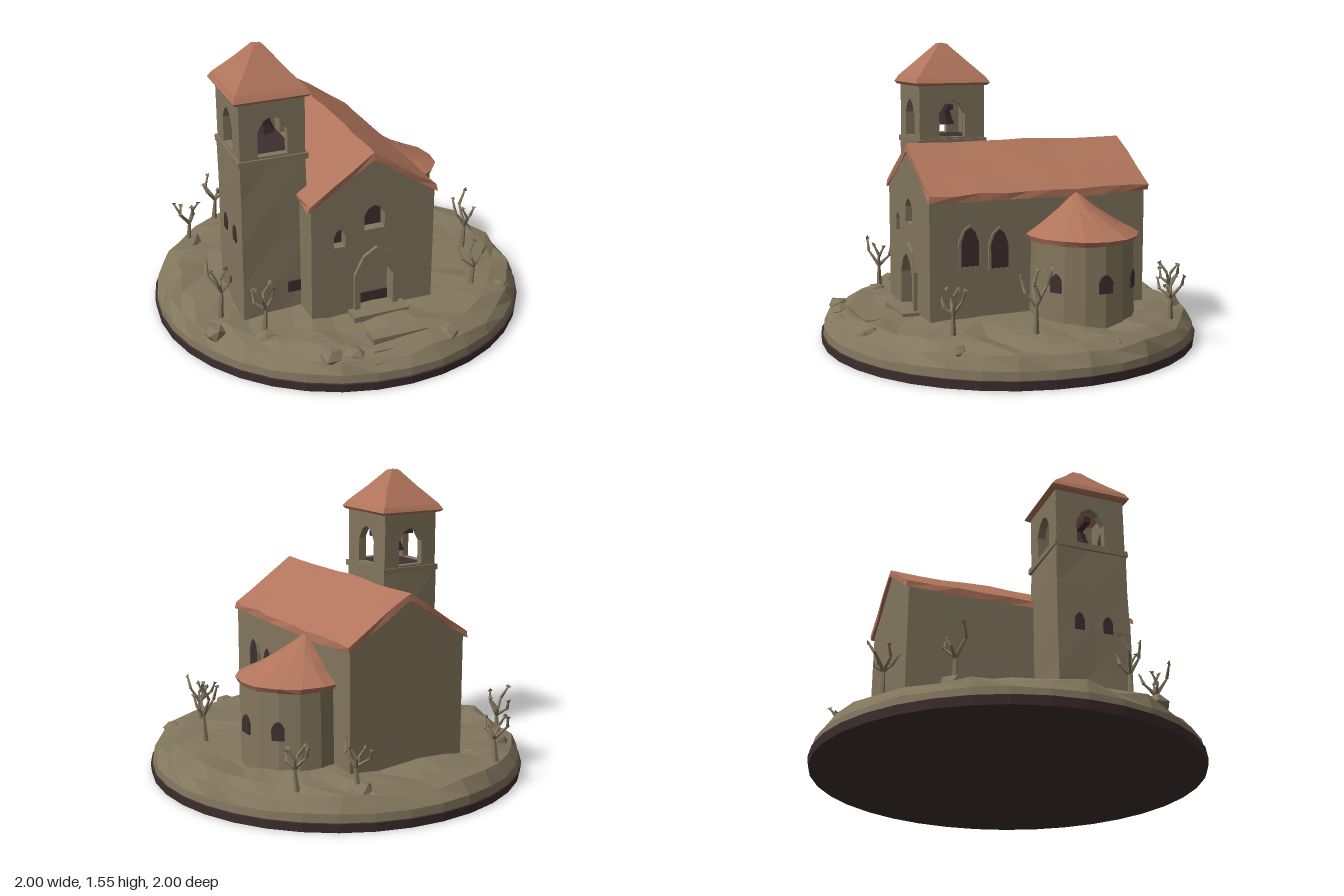
import * as THREE from 'three';

const mat = (name, color, side = THREE.FrontSide) =>
  Object.assign(new THREE.MeshStandardMaterial({ color, flatShading: true, side }), { name });

export function createModel() {
  const model = new THREE.Group();
  model.name = 'chapel';
  const stone = mat('stone', 0x82765d);
  const tile = mat('roof tile', 0xb0745b);
  const dark = mat('dark brown', 0x3f2f30);

  const add = (name, geometry, material, x = 0, y = 0, z = 0, parent = model) => {
    const m = new THREE.Mesh(geometry, material);
    m.name = name;
    m.position.set(x, y, z);
    parent.add(m);
    return m;
  };

  // Position-based noise, so that shared corners move together
  const noise = (x, y, z, k) => {
    const r = v => Math.round(v * 500) + 0;
    const s = Math.sin(r(x) * 12.99 + r(y) * 78.23 + r(z) * 37.72 + k * 11.1) * 43758.55;
    return (s - Math.floor(s)) * 2 - 1;
  };
  const warp = (g, rule) => {
    const p = g.attributes.position;
    for (let i = 0; i < p.count; i++) p.setXYZ(i, ...rule(p.getX(i), p.getY(i), p.getZ(i)));
    g.computeVertexNormals();
    return g;
  };
  const roughen = (g, a, b = a, c = a) => warp(g, (x, y, z) =>
    [x + a * noise(x, y, z, 1), y + b * noise(x, y, z, 2), z + c * noise(x, y, z, 3)]);

  // Slightly pointed arch outline standing on (cx, y0)
  const archPoints = (cx, y0, w, h) => [[-0.5, 0], [0.5, 0], [0.5, 0.62], [0.3, 0.88], [0, 1], [-0.3, 0.88], [-0.5, 0.62]]
    .map(([u, v]) => new THREE.Vector2(cx + u * w, y0 + v * h));
  const slab = (points, depth, holes = []) => {
    const s = new THREE.Shape(points);
    holes.forEach(h => s.holes.push(new THREE.Path(h)));
    return new THREE.ExtrudeGeometry(s, { depth, bevelEnabled: false });
  };
  const rect = (x0, x1, y0, y1) =>
    [[x0, y0], [x1, y0], [x1, y1], [x0, y1]].map(p => new THREE.Vector2(...p));

  // Round island with a dark underside
  add('baseDisc', new THREE.CylinderGeometry(1, 0.995, 0.045, 36), dark, 0, 0.0225, 0);
  const profile = [[0.99, 0.035], [0.985, 0.085], [0.94, 0.145], [0.86, 0.172], [0.72, 0.175], [0.5, 0.19], [0, 0.19]]
    .map(p => new THREE.Vector2(...p));
  const ground = warp(new THREE.LatheGeometry(profile, 36), (x, y, z) => {
    const r = Math.hypot(x, z), k = r > 0.97 ? 0.006 : r > 0.6 ? 0.018 : 0.004;
    return [x + (r > 0.97 ? 0 : k * noise(x, y, z, 1)), y + k * noise(x, y, z, 2), z + (r > 0.97 ? 0 : k * noise(x, y, z, 3))];
  });
  add('ground', ground, stone);
  for (let i = 0; i < 3; i++) add('frontStep', new THREE.BoxGeometry(0.36 - i * 0.03, 0.05, 0.08), stone, 0.01, 0.095 + i * 0.035, 0.9 - i * 0.05);
  add('doorStep', new THREE.BoxGeometry(0.3, 0.05, 0.12), stone, -0.005, 0.175, 0.58);
  [[-0.82, 0.42, 0.06], [-0.36, 0.84, 0.06], [-0.25, 0.86, 0.05], [0.26, 0.85, 0.06], [0.72, 0.55, 0.05],
    [-0.68, -0.52, 0.07], [0.34, -0.8, 0.07], [0.85, -0.2, 0.05], [-0.6, 0.56, 0.06], [-0.42, -0.64, 0.05]]
    .forEach(([x, z, r], i) => {
      const rock = add('rock', roughen(new THREE.IcosahedronGeometry(r, 0), r * 0.2), stone, x, 0.15, z);
      rock.scale.y = 0.75;
      rock.rotation.y = i * 1.3;
    });

  // Nave: solid body, plus a front wall pierced by door and windows
  const gable = [[-0.35, 0.12], [0.31, 0.12], [0.31, 0.8], [-0.02, 1.025], [-0.35, 0.8]].map(p => new THREE.Vector2(...p));
  add('naveBody', slab(gable, 1.14), stone, 0, 0, -0.65);
  const doorway = archPoints(-0.005, 0.19, 0.18, 0.29);
  const openings = [doorway, archPoints(-0.2, 0.565, 0.06, 0.1), archPoints(-0.015, 0.635, 0.11, 0.13)];
  add('frontWall', slab(gable, 0.06, openings), stone, 0, 0, 0.49);
  add('doorSurround', slab(archPoints(-0.005, 0.17, 0.24, 0.37), 0.02, [doorway]), stone, 0, 0, 0.549);
  add('doorShadow', slab(rect(-0.095, 0.085, 0.18, 0.245), 0.008), dark, 0, 0, 0.49);
  add('doorSideShadow', slab(rect(-0.095, -0.075, 0.24, 0.42), 0.008), dark, 0, 0, 0.49);
  openings.slice(1).forEach(o => add('frontWindow', slab(o, 0.008), dark, 0, 0, 0.49));

  // Gabled tile roof, bent from a box along its ridge
  const roof = roughen(new THREE.BoxGeometry(0.69, 0.035, 1.22, 6, 1, 9), 0.006, 0.005, 0.006);
  warp(roof, (x, y, z) => [x, y - Math.abs(x) * 0.67, z]);
  add('naveRoof', roof, tile, -0.02, 1.03, -0.055);

  // Thin dark window panes on the walls
  const pane = (name, x, y, z, turn, w, h) => {
    add(name, slab(archPoints(0, -h / 2, w, h), 0.009), dark, x, y, z).rotation.y = turn;
  };
  const rim = (name, x, y, z, turn, w, h) => {
    add(name, slab(archPoints(0, -h / 2 - 0.012, w + 0.024, h + 0.024), 0.014, [archPoints(0, -h / 2, w, h)]), stone, x, y, z).rotation.y = turn;
  };
  [[0.34, 0.555], [0.18, 0.535]].forEach(([z, y]) => {
    pane('naveWindow', 0.308, y, z, Math.PI / 2, 0.095, 0.2);
    rim('naveWindowRim', 0.308, y, z, Math.PI / 2, 0.095, 0.2);
  });

  // Rounded side chapel with a leaning conical roof
  const ax = 0.39, az = -0.245;
  add('apseWall', new THREE.CylinderGeometry(0.262, 0.275, 0.47, 16), stone, ax, 0.365, az);
  [[0, 0.075], [0.77, 0.065], [-0.95, 0.06]].forEach(([a, w]) => {
    pane('apseWindow', ax + 0.266 * Math.cos(a), 0.385, az - 0.266 * Math.sin(a), Math.PI / 2 + a, w, 0.095);
  });
  const cone = new THREE.LatheGeometry(
    [[0.2, 0.575], [0.28, 0.575], [0.292, 0.6], [0.2, 0.65], [0.1, 0.72], [0, 0.805]].map(p => new THREE.Vector2(...p)), 16);
  warp(cone, (x, y, z) => [x - Math.max(0, y - 0.6) * 0.36, y, z]);
  add('apseRoof', roughen(cone, 0.004), tile, ax, 0, az);

  // Bell tower shaft
  const tower = new THREE.Group();
  tower.name = 'bellTower';
  tower.position.set(-0.48, 0, 0.197);
  model.add(tower);
  const shaft = warp(new THREE.BoxGeometry(0.34, 0.89, 0.38, 2, 4, 2), (x, y, z) =>
    [x * (1 - y * 0.03) + 0.004 * noise(x, y, z, 1), y, z * (1 - y * 0.03) + 0.004 * noise(x, y, z, 3)]);
  add('towerShaft', shaft, stone, 0, 0.575, 0, tower);
  add('towerLedge', new THREE.BoxGeometry(0.355, 0.03, 0.395), stone, 0, 1.015, 0, tower);
  add('belfryFloor', new THREE.BoxGeometry(0.25, 0.008, 0.3), dark, 0, 1.033, 0, tower);

  // Open belfry: four arched walls
  const belfryWall = w => slab(rect(-w / 2, w / 2, 1.02, 1.34), 0.04, [archPoints(0, 1.04, 0.15, 0.205)]);
  for (let i = 0; i < 4; i++) {
    const side = new THREE.Group();
    side.name = 'belfrySide';
    side.rotation.y = i * Math.PI / 2;
    tower.add(side);
    add('belfryWall', belfryWall(i % 2 ? 0.372 : 0.33), stone, 0, 0, i % 2 ? 0.126 : 0.147, side);
  }
  add('bellBeam', new THREE.BoxGeometry(0.27, 0.03, 0.035), dark, 0, 1.2, 0, tower);
  add('bell', new THREE.LatheGeometry(
    [[0, 1.1], [0.072, 1.1], [0.055, 1.14], [0.045, 1.18], [0, 1.2]].map(p => new THREE.Vector2(...p)), 8), dark, 0, 0, 0, tower);

  // Pyramid roof with turned-down eaves
  const cap = new THREE.LatheGeometry(
    [[0, 1.32], [0.26, 1.32], [0.278, 1.335], [0.255, 1.365], [0.13, 1.465], [0.03, 1.545], [0, 1.55]].map(p => new THREE.Vector2(...p)), 4);
  cap.rotateY(Math.PI / 4);
  cap.scale(1, 1, 1.08);
  add('towerRoof', roughen(cap, 0.004, 0.002), tile, -0.003, 0, 0, tower);

  // Small tower windows
  [0.12, 0.27].forEach(z => pane('towerWindow', -0.647, 0.6, z, -Math.PI / 2, 0.05, 0.09));
  add('towerVent', new THREE.BoxGeometry(0.07, 0.06, 0.009), dark, -0.383, 0.305, 0.392);

  // Bare shrubs with forked branches and a few leaf shards
  const limb = (parent, a, b, r) => {
    const d = b.clone().sub(a);
    const m = add('branch', new THREE.CylinderGeometry(r * 0.5, r, d.length(), 5), stone, 0, 0, 0, parent);
    m.position.copy(a).addScaledVector(d, 0.5);
    m.quaternion.setFromUnitVectors(new THREE.Vector3(0, 1, 0), d.normalize());
  };
  const shrub = (x, z, h, seed) => {
    const g = new THREE.Group();
    g.name = 'shrub';
    g.position.set(x, 0.15, z);
    model.add(g);
    const fork = new THREE.Vector3(0.01, h * 0.5, 0.005);
    limb(g, new THREE.Vector3(), fork, 0.017);
    for (let i = 0; i < 4; i++) {
      const a = seed * 1.7 + i * 1.6, r = 0.045 + 0.012 * (i % 2);
      const elbow = new THREE.Vector3(Math.cos(a) * r, h * (0.62 + 0.05 * i), Math.sin(a) * r);
      const tip = new THREE.Vector3(Math.cos(a + 0.5) * r * 1.35, h * (0.8 + 0.065 * i), Math.sin(a + 0.5) * r * 1.35);
      limb(g, fork, elbow, 0.011);
      limb(g, elbow, tip, 0.009);
      const leaf = add('leaf', new THREE.TetrahedronGeometry(0.018), stone, tip.x, tip.y, tip.z, g);
      leaf.rotation.set(a, i, seed);
      leaf.scale.y = 0.5;
    }
  };
  [[0.7, 0.15, 0.36], [0.56, 0.52, 0.28], [-0.6, 0.54, 0.3], [-0.76, 0.32, 0.33],
    [0.6, -0.65, 0.24], [0.35, -0.79, 0.25], [-0.7, -0.52, 0.28], [-0.47, -0.79, 0.25]]
    .forEach(([x, z, h], i) => shrub(x, z, h, i));

  return model;
}
